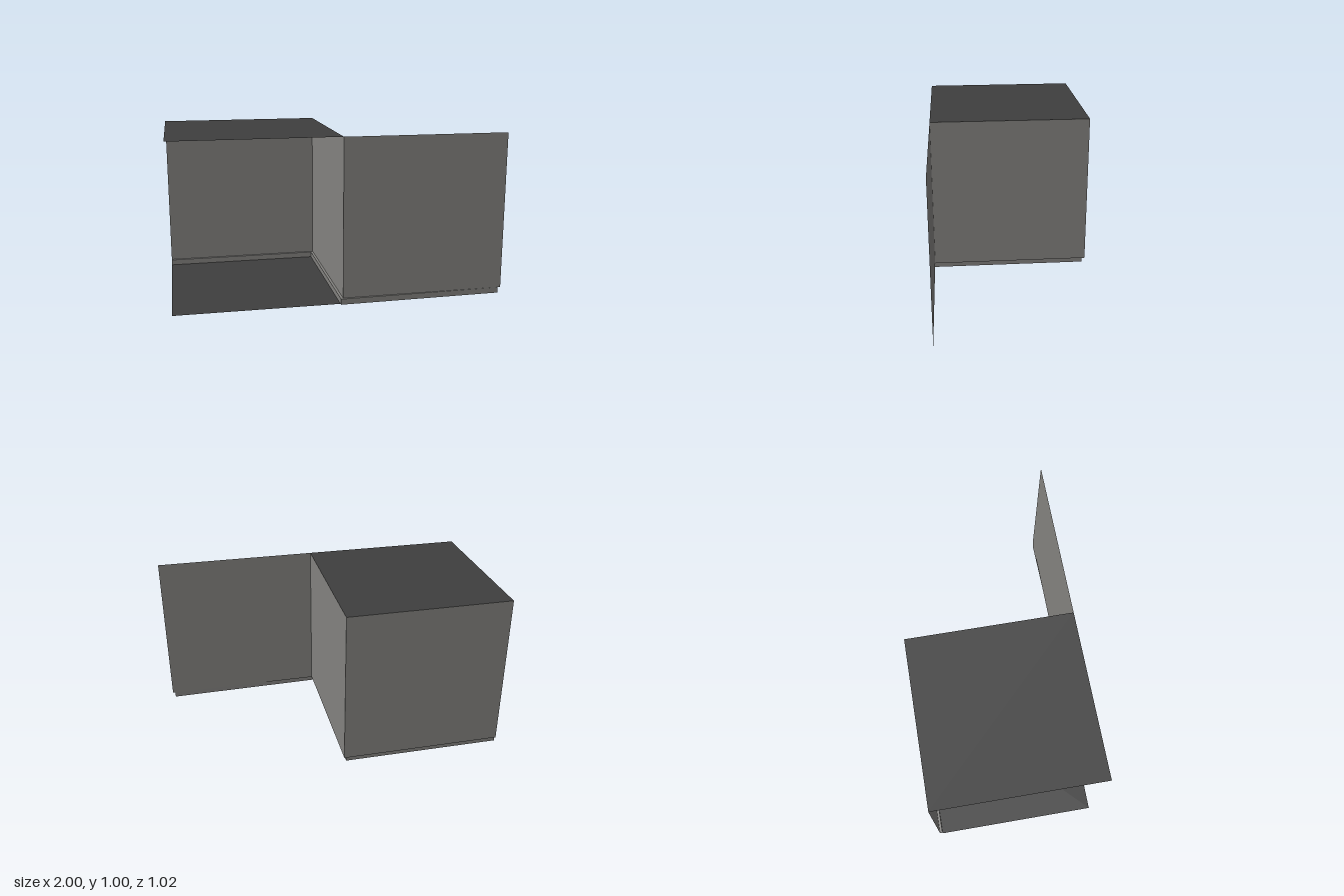
import * as THREE from 'three';

const D = 0.016;      // skirting offset from the wall
const H = 0.035;      // skirting height
const BACK = -0.508, FRONT = 0.492;

// Plan outlines as [x, z], running along the three walls
const wallLine = [[-1, BACK], [0, BACK], [0, FRONT], [1, FRONT]];
const skirtLine = [[-1, BACK + D], [-D, BACK + D], [-D, FRONT + D], [1 - D, FRONT]];

// Flat four-cornered panel, corners counter-clockwise from its front
function panel(name, corners, material) {
  const g = new THREE.BufferGeometry();
  g.setAttribute('position', new THREE.Float32BufferAttribute(corners.flat(), 3));
  g.setIndex([0, 1, 2, 0, 2, 3]);
  g.computeVertexNormals();
  const mesh = new THREE.Mesh(g, material);
  mesh.name = name;
  return mesh;
}

// Panel spanning segment i between a lower and an upper outline
function strip(name, i, low, yLow, high, yHigh, material) {
  const at = ([x, z], y) => [x, y, z];
  return panel(name, [
    at(low[i], yLow), at(low[i + 1], yLow),
    at(high[i + 1], yHigh), at(high[i], yHigh),
  ], material);
}

export function createModel() {
  const model = new THREE.Group();
  model.name = 'wallCornerTile';

  const wall = new THREE.MeshStandardMaterial({ color: 0x83827f, side: THREE.DoubleSide });
  wall.name = 'warm grey wall';
  const dark = new THREE.MeshStandardMaterial({ color: 0x3e3e3e, side: THREE.DoubleSide });
  dark.name = 'dark grey floor and ceiling';

  // Walls with a stepped skirting along the bottom
  ['back', 'side', 'front'].forEach((part, i) => {
    const group = new THREE.Group();
    group.name = part + 'Wall';
    group.add(
      strip(part + 'WallPanel', i, wallLine, H, wallLine, 1, wall),
      strip(part + 'SkirtingLedge', i, skirtLine, H, wallLine, H, wall),
      strip(part + 'SkirtingFace', i, skirtLine, 0, skirtLine, H, wall),
    );
    model.add(group);
  });

  // Floor meets the skirting, facing up
  model.add(panel('floor', [
    [-1, 0, FRONT], [-D, 0, FRONT], [-D, 0, BACK + D], [-1, 0, BACK + D],
  ], dark));

  // Ceiling meets the wall tops, facing down
  model.add(panel('ceiling', [
    [-1, 1, BACK], [0, 1, BACK], [0, 1, FRONT], [-1, 1, FRONT],
  ], dark));

  return model;
}
